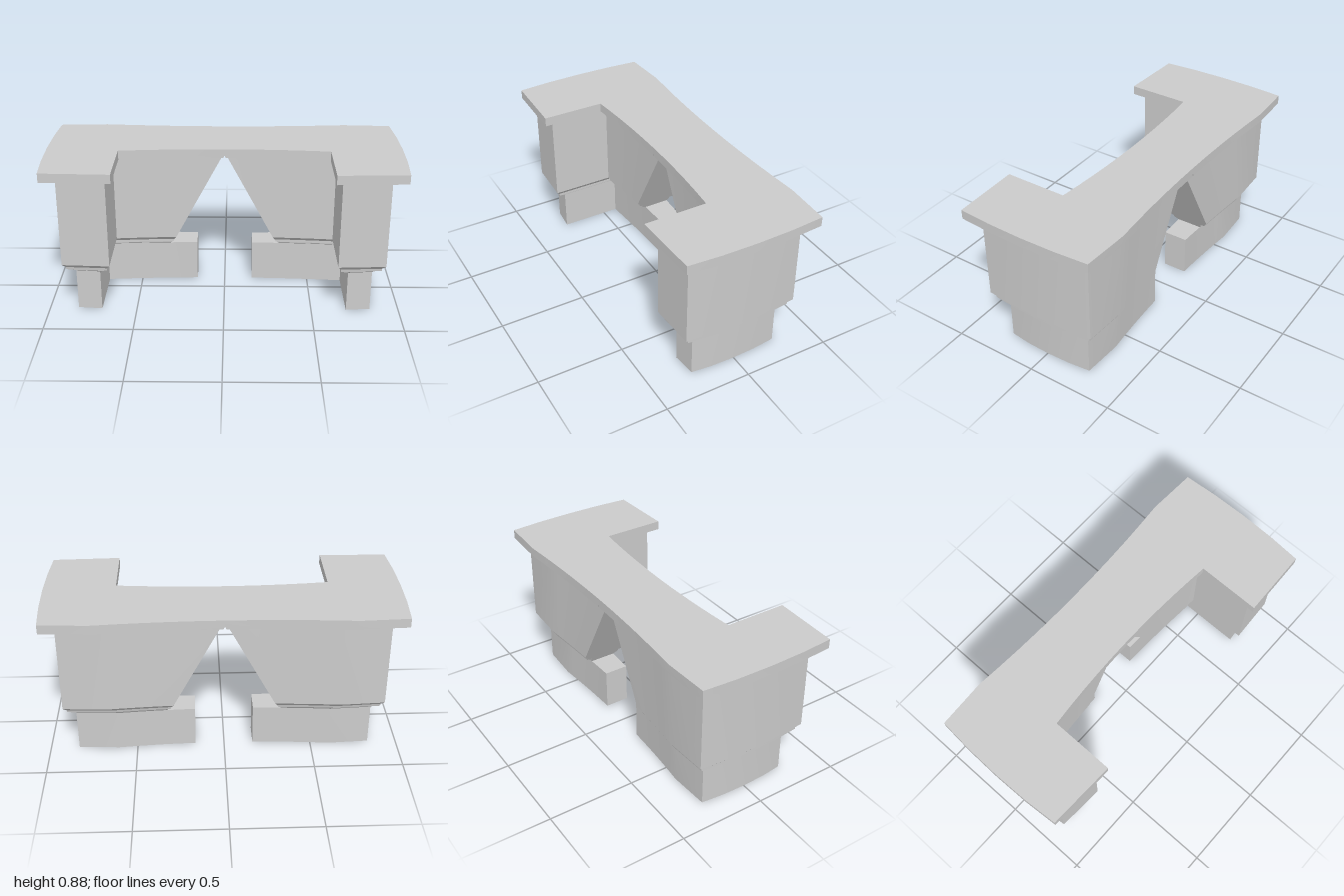
import * as THREE from 'three';
import { toCreasedNormals } from 'three/addons/utils/BufferGeometryUtils.js';

const material = new THREE.MeshStandardMaterial({ color: 0xcccccc });

// L-shaped plan of one desk half (x, z), gently bowed on the back, side and inner edges.
// o: outer side, b: back, f: front, i: inner leg face, a: inner arm face, e: inner end
function plan({ o, b, f, i, a, e }) {
  const pts = [];
  const peak = o * 0.71, n = 5;
  const bow = (x, x1) => 0.03 * (1 - Math.min(1, x / x1) ** 2);
  for (let k = 0; k <= n; k++) {
    const x = e + (peak - e) * k / n;
    pts.push([x, -b + bow(x, peak)]);
  }
  pts.push([o - 0.018, -b + 0.013]);
  for (const t of [-0.5, 0, 0.5]) pts.push([o - 0.018 * 4 * t * t * 0.25, t * (b + f) / 2]);
  pts.push([o - 0.018, f - 0.013], [i, f]);
  for (let k = n; k >= 0; k--) {
    const x = e + (i - e) * k / n;
    pts.push([x, a - bow(x, i)]);
  }
  return pts;
}

// Skin stacked plans from bottom to top and close both ends; side = -1 mirrors in x
function loft(name, layers, side) {
  const rings = layers.map(l => plan(l).map(([x, z]) => new THREE.Vector3(x * side, l.y, z)));
  const pos = [];
  const tri = (p, q, r) => [p, q, r].forEach(v => pos.push(v.x, v.y, v.z));
  const face = (p, q, r) => (side > 0 ? tri(p, q, r) : tri(p, r, q));
  for (let k = 0; k + 1 < rings.length; k++) {
    const lo = rings[k], hi = rings[k + 1];
    lo.forEach((p, j) => {
      const m = (j + 1) % lo.length;
      face(p, hi[j], lo[m]);
      face(lo[m], hi[j], hi[m]);
    });
  }
  const cap = (ring, up) => {
    const flat = ring.map(v => new THREE.Vector2(v.x, v.z));
    for (const [p, q, r] of THREE.ShapeUtils.triangulateShape(flat, [])) {
      const facesUp = flat[q].clone().sub(flat[p]).cross(flat[r].clone().sub(flat[p])) < 0;
      if (facesUp === up) tri(ring[p], ring[q], ring[r]);
      else tri(ring[p], ring[r], ring[q]);
    }
  };
  cap(rings[0], false);
  cap(rings[rings.length - 1], true);
  const geo = new THREE.BufferGeometry();
  geo.setAttribute('position', new THREE.Float32BufferAttribute(pos, 3));
  const mesh = new THREE.Mesh(toCreasedNormals(geo, 0.25), material);
  mesh.name = name;
  return mesh;
}

// Slanted inner end: the two halves meet just under the desk top
const slant = y => Math.max(0, (0.845 - y) * 0.535);
const layer = (y, o, b, f, i, a, e = slant(y)) => ({ y, o, b, f, i, a, e });

export function createModel() {
  const desk = new THREE.Group();
  desk.name = 'desk';

  const plinth = [
    layer(0, 0.855, 0.28, 0.27, 0.70, -0.085, 0.165),
    layer(0.24, 0.855, 0.28, 0.27, 0.70, -0.085, 0.165),
  ];
  // Cabinet with a stepped moulding at its foot
  const cabinet = [
    layer(0.24, 0.855, 0.28, 0.27, 0.70, -0.085),
    layer(0.255, 0.868, 0.291, 0.293, 0.675, -0.06),
    layer(0.274, 0.87, 0.293, 0.295, 0.672, -0.057),
    layer(0.275, 0.90, 0.323, 0.325, 0.652, -0.03),
    layer(0.29, 0.90, 0.326, 0.327, 0.652, -0.03),
    layer(0.312, 0.92, 0.346, 0.347, 0.635, -0.01),
    layer(0.81, 0.92, 0.346, 0.347, 0.635, -0.01),
  ];
  // Overhanging top with a sloping underside
  const top = [
    layer(0.81, 0.92, 0.346, 0.347, 0.635, -0.01),
    layer(0.83, 1, 0.408, 0.404, 0.595, 0.045),
    layer(0.845, 1, 0.408, 0.404, 0.595, 0.045),
    layer(0.883, 1, 0.408, 0.404, 0.595, 0.045),
  ];

  for (const [label, side] of [['left', 1], ['right', -1]]) {
    const half = new THREE.Group();
    half.name = label + 'Half';
    half.add(
      loft(label + 'Plinth', plinth, side),
      loft(label + 'Cabinet', cabinet, side),
      loft(label + 'DeskTop', top, side),
    );
    desk.add(half);
  }
  return desk;
}
